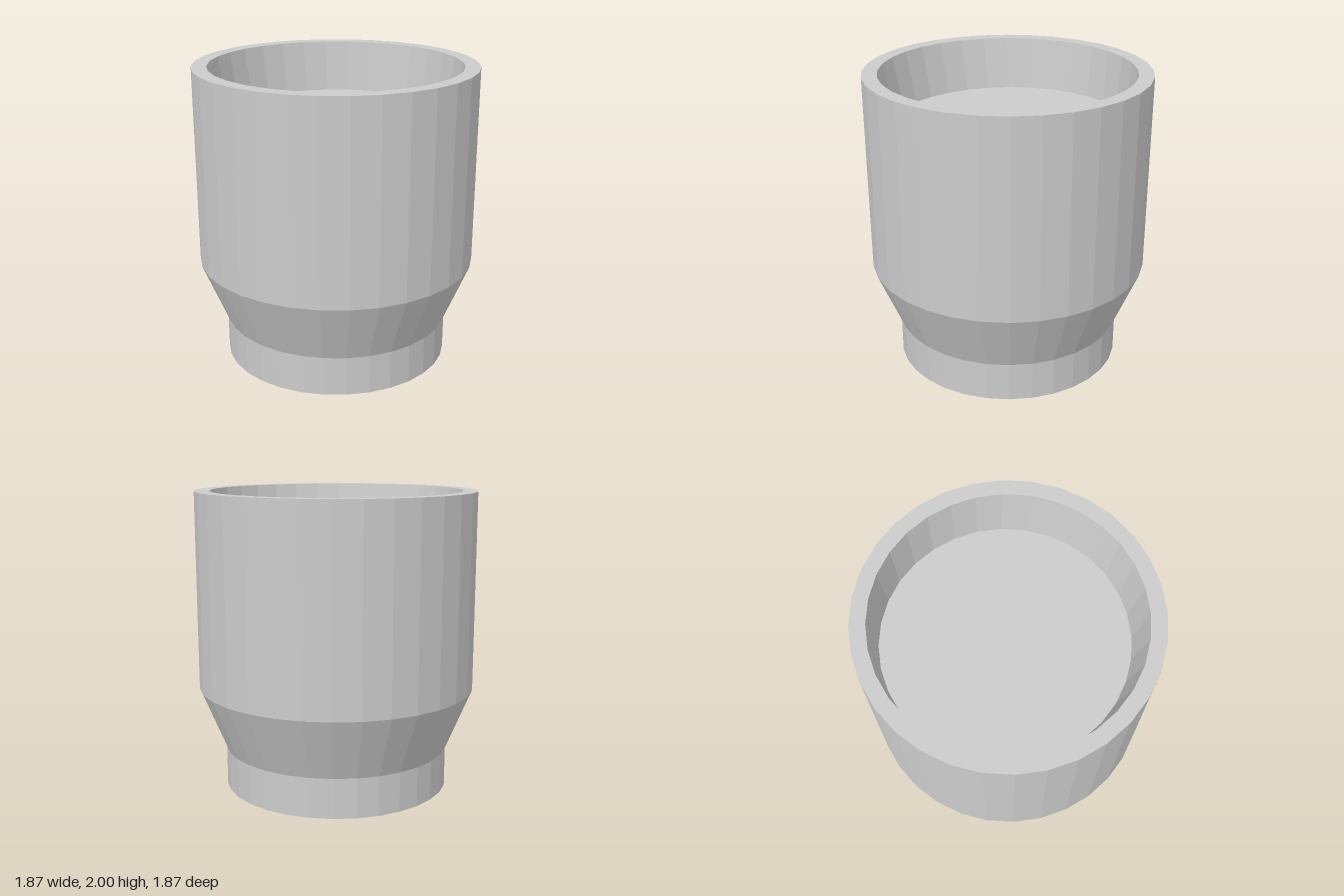
import * as THREE from 'three';

const SIDES = 32;
const FLOOR_Y = 1.65;

// Faceted surface of revolution from [radius, height] pairs
function turned(name, profile, material) {
  const points = profile.map(([r, y]) => new THREE.Vector2(r, y));
  const mesh = new THREE.Mesh(new THREE.LatheGeometry(points, SIDES), material);
  mesh.name = name;
  return mesh;
}

export function createModel() {
  const group = new THREE.Group();
  group.name = 'cup';
  const material = new THREE.MeshStandardMaterial({ color: 0xcccccc, flatShading: true });

  // Closed base, narrow foot, flared shoulder, straight body and flat rim
  group.add(turned('outerBody', [
    [0, 0], [0.76, 0], [0.76, 0.265], [0.933, 0.685], [0.933, 2], [0.834, 2],
  ], material));

  // Shallow tapered recess whose floor sits slightly off centre
  const recess = turned('recess', [[0.834, 2], [0.783, FLOOR_Y], [0, FLOOR_Y]], material);
  const position = recess.geometry.attributes.position;
  for (let i = 0; i < position.count; i++) {
    if (position.getY(i) < FLOOR_Y + 0.01) {
      position.setX(i, position.getX(i) - 0.013);
      position.setZ(i, position.getZ(i) - 0.015);
    }
  }
  recess.geometry.computeVertexNormals();
  group.add(recess);

  return group;
}
